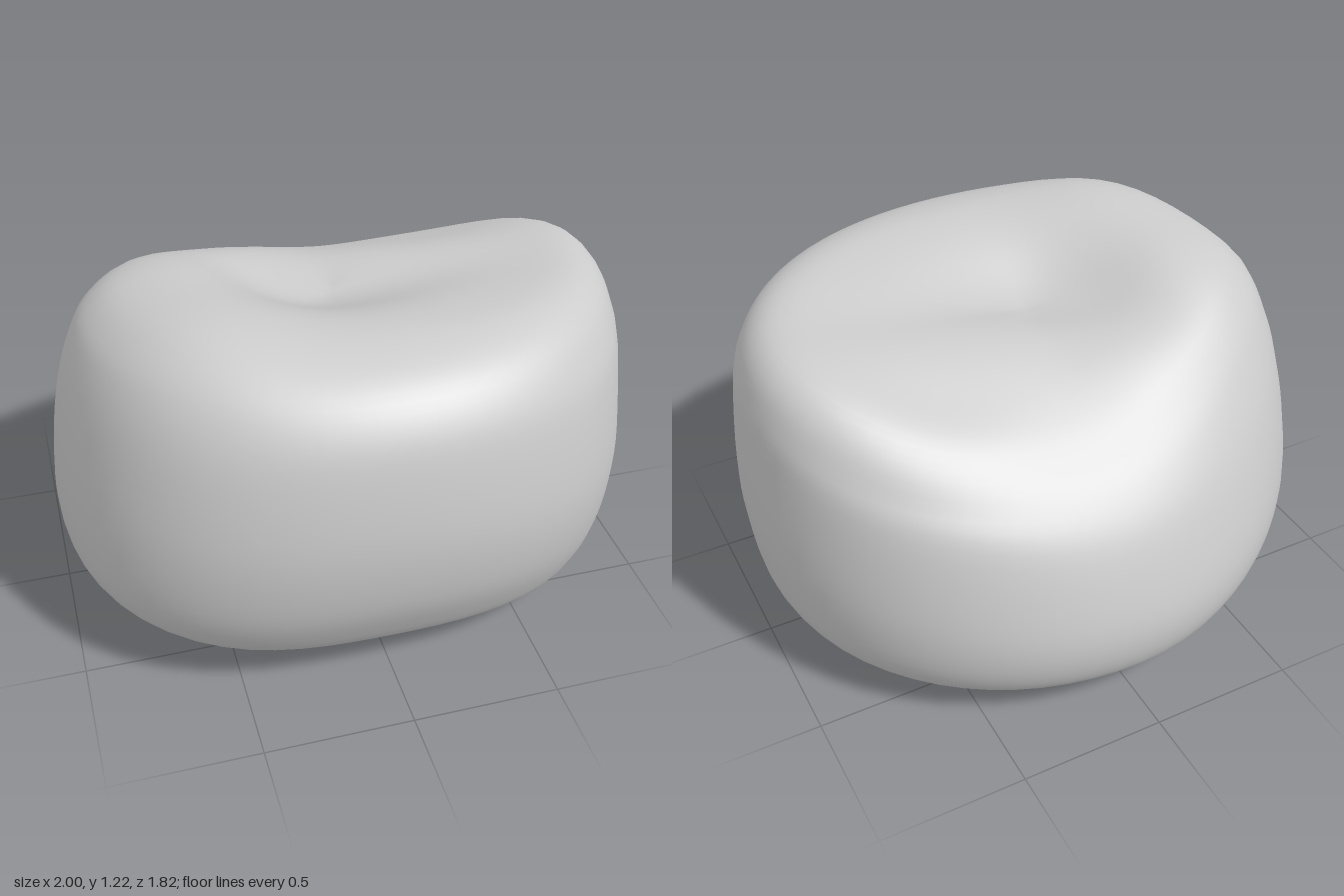
import * as THREE from 'three';
import { mergeVertices } from 'three/addons/utils/BufferGeometryUtils.js';

// Half-profiles (radius, height) from the base centre to the top centre.
const profile = (...pts) => new THREE.SplineCurve(pts.map(([r, y]) => new THREE.Vector2(r, y)));
const front = profile([0, .05], [.2, .04], [.4, .035], [.6, .055], [.75, .14], [.83, .26], [.89, .42], [.91, .65],
  [.87, .9], [.81, 1.04], [.71, 1.13], [.56, 1.175], [.4, 1.175], [.2, 1.15], [0, 1.125]);
const plusX = profile([0, .05], [.25, .05], [.5, .045], [.74, .05], [.89, .1], [.96, .2], [.99, .35], [1, .55],
  [.98, .85], [.96, .98], [.91, 1.09], [.81, 1.145], [.6, 1.14], [.3, 1.13], [0, 1.125]);
const back = profile([0, .05], [.25, .04], [.5, .03], [.7, .055], [.83, .11], [.89, .2], [.905, .33], [.87, .48],
  [.8, .65], [.71, .775], [.61, .87], [.5, .96], [.36, 1.04], [.19, 1.1], [0, 1.125]);
const minusX = profile([0, .05], [.3, .055], [.6, .06], [.8, .09], [.9, .15], [.98, .25], [1, .4], [.98, .62],
  [.94, .83], [.89, .98], [.83, 1.08], [.71, 1.16], [.5, 1.19], [.25, 1.155], [0, 1.125]);

// Soft elliptical bump, turned by an angle in plan.
function bump(x, z, cx, cz, long, short, angle) {
  const dx = x - cx, dz = z - cz, c = Math.cos(angle), s = Math.sin(angle);
  const u = (dx * c + dz * s) / long, v = (dz * c - dx * s) / short;
  return Math.exp(-u * u - v * v);
}

// Fullness of the four corners in plan; they lean in towards the top.
const fullness = (s, c, t) => (c >= 0 ? (s >= 0 ? .035 : .06) : (s >= 0 ? 0 : -.03))
  - .035 * THREE.MathUtils.smoothstep(t, .45, .8);

function cushionGeometry(levels = 56, segments = 64) {
  const positions = [], indices = [];
  for (let i = 0; i <= levels; i++) {
    const t = i / levels;
    const [f, px, b, mx] = [front, plusX, back, minusX].map((p) => p.getPoint(t));
    for (let j = 0; j < segments; j++) {
      const a = (j / segments) * Math.PI * 2, s = Math.sin(a), c = Math.cos(a);
      const p = (c >= 0 ? f : b).clone().multiplyScalar(c * c)
        .addScaledVector(s >= 0 ? px : mx, s * s);
      const r = p.x * (1 + fullness(s, c, t) * Math.sin(2 * a) ** 2);
      const x = r * s, z = r * c;
      let y = p.y;
      if (t > .5) {
        // Raised front corner, creased dents and the lower back corner
        const fade = THREE.MathUtils.smoothstep(t, .5, .65);
        y += fade * (.045 * bump(x, z, -.57, .44, .32, .3, 0)
          - .07 * bump(x, z, -.22, -.08, .32, .18, .8)
          - .025 * bump(x, z, .3, .07, .38, .16, 0)
          - .045 * bump(x, z, 0, .05, .28, .24, 0)
          - .085 * bump(x, z, .45, -.4, .4, .28, 0));
      } else {
        // Low point under the front corner
        y -= .05 * bump(x, z, .52, .41, .36, .26, 0) * (1 - THREE.MathUtils.smoothstep(t, .3, .5));
      }
      positions.push(x, y, z);
      if (i < levels) {
        const k = (j + 1) % segments, lo = i * segments, hi = lo + segments;
        if (i > 0) indices.push(lo + j, lo + k, hi + k);
        if (i < levels - 1) indices.push(lo + j, hi + k, hi + j);
        else indices.push(lo + j, lo + k, hi + j);
      }
    }
  }
  let g = new THREE.BufferGeometry();
  g.setAttribute('position', new THREE.Float32BufferAttribute(positions, 3));
  g.setIndex(indices);
  g = mergeVertices(g, 1e-5);
  g.computeVertexNormals();
  return g;
}

export function createModel() {
  const group = new THREE.Group();
  const cushion = new THREE.Mesh(cushionGeometry(), new THREE.MeshStandardMaterial({ color: 0xcccccc }));
  cushion.name = 'cushionBody';
  // Rest the lowest point on the ground
  cushion.geometry.computeBoundingBox();
  cushion.position.y = -cushion.geometry.boundingBox.min.y;
  group.add(cushion);
  return group;
}
